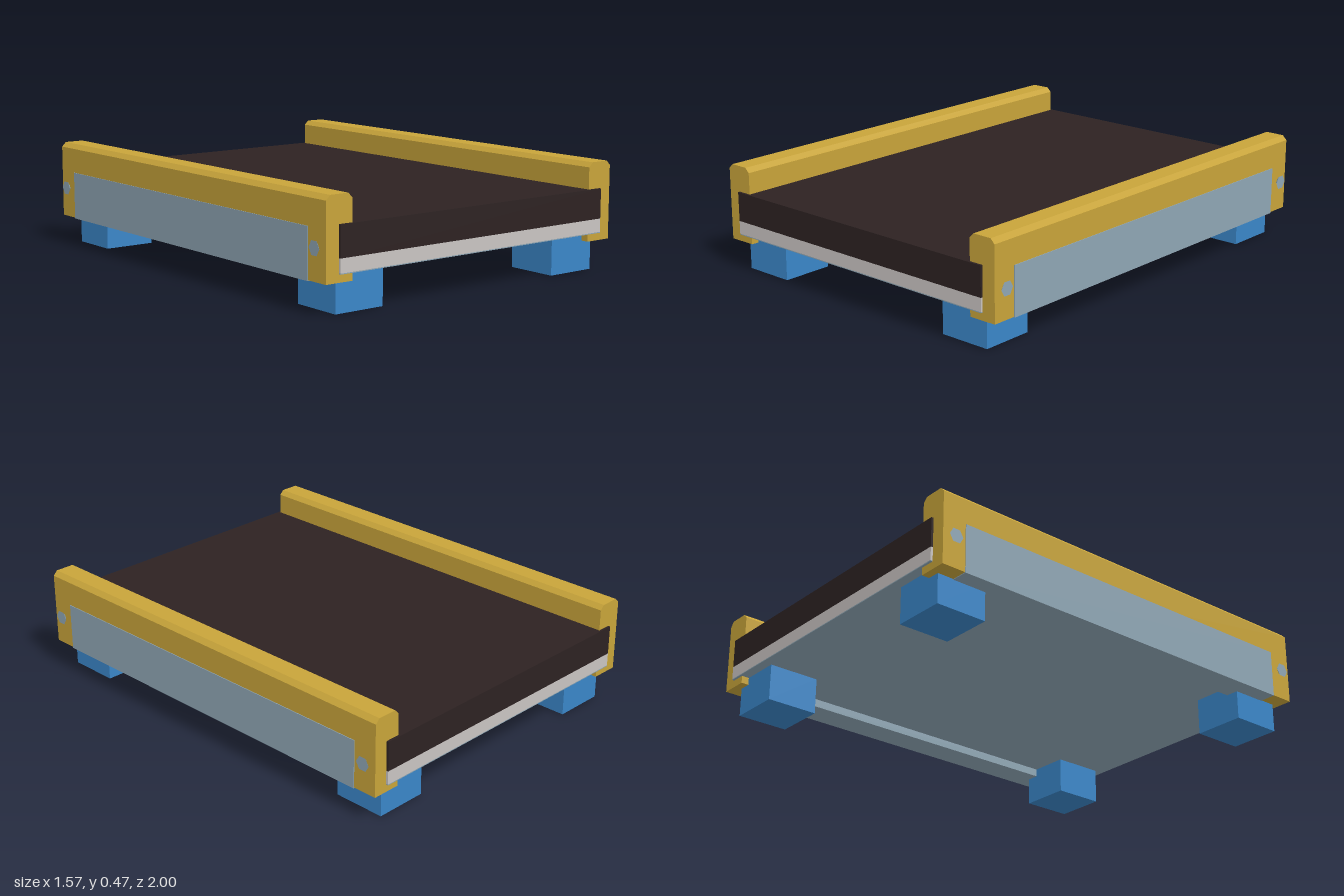
import * as THREE from 'three';

const material = (name, color) => new THREE.MeshStandardMaterial({ name, color });

export function createModel() {
  const yellow = material('yellow', 0xc8a43a);
  const dark = material('dark brown', 0x2d2222);
  const pale = material('pale grey', 0xc9c4c2);
  const steel = material('steel blue', 0x8fa6b4);
  const blue = material('blue', 0x3a86c8);

  const model = new THREE.Group();
  model.name = 'conveyorSection';

  const add = (parent, name, geometry, mat, x = 0, y = 0, z = 0) => {
    const mesh = new THREE.Mesh(geometry, mat);
    mesh.name = name;
    mesh.position.set(x, y, z);
    parent.add(mesh);
    return mesh;
  };

  // Extrude a cross-section along z, centred on z = 0
  const extrude = (points, length) => {
    const shape = new THREE.Shape(points.map(([x, y]) => new THREE.Vector2(x, y)));
    return new THREE.ExtrudeGeometry(shape, { depth: length, bevelEnabled: false })
      .translate(0, 0, -length / 2);
  };

  // Belt, deck and underside plate
  add(model, 'belt', new THREE.BoxGeometry(1.42, 0.13, 2), dark, 0, 0.29);
  add(model, 'deck', new THREE.BoxGeometry(1.42, 0.058, 2), pale, 0, 0.196);
  add(model, 'undersidePlate', new THREE.BoxGeometry(1.42, 0.004, 2), steel, 0, 0.165);

  // Half-profile of a chamfered rail, grooved to hold the deck
  const railProfile = [
    [0.645, 0.13], [0.772, 0.13], [0.772, 0.45], [0.752, 0.47], [0.665, 0.47],
    [0.645, 0.45], [0.645, 0.355], [0.71, 0.355], [0.71, 0.165], [0.645, 0.165],
  ];
  // Thin cover wrapping the rail's outside, bottom and inner lip
  const coverProfile = [
    [0.642, 0.127], [0.775, 0.127], [0.775, 0.34], [0.771, 0.34],
    [0.771, 0.131], [0.646, 0.131], [0.646, 0.165], [0.642, 0.165],
  ];

  for (const [side, label] of [[1, 'left'], [-1, 'right']]) {
    const half = new THREE.Group();
    half.name = label + 'Side';
    if (side < 0) half.rotation.y = Math.PI;
    model.add(half);

    add(half, 'rail', extrude(railProfile, 1.98), yellow);
    add(half, 'railCover', extrude(coverProfile, 1.76), steel);

    for (const z of [-1, 1]) {
      // Flared hexagonal bolt heads, points facing along the rail
      const bolt = new THREE.CylinderGeometry(0.033, 0.006, 0.02, 6).toNonIndexed();
      bolt.computeVertexNormals();
      bolt.rotateZ(-Math.PI / 2);
      add(half, 'bolt', bolt, steel, 0.776, 0.264, z * 0.935);

      add(half, 'foot', new THREE.BoxGeometry(0.235, 0.165, 0.235), blue, 0.582, 0.0825, z * 0.838);
    }
  }

  return model;
}
